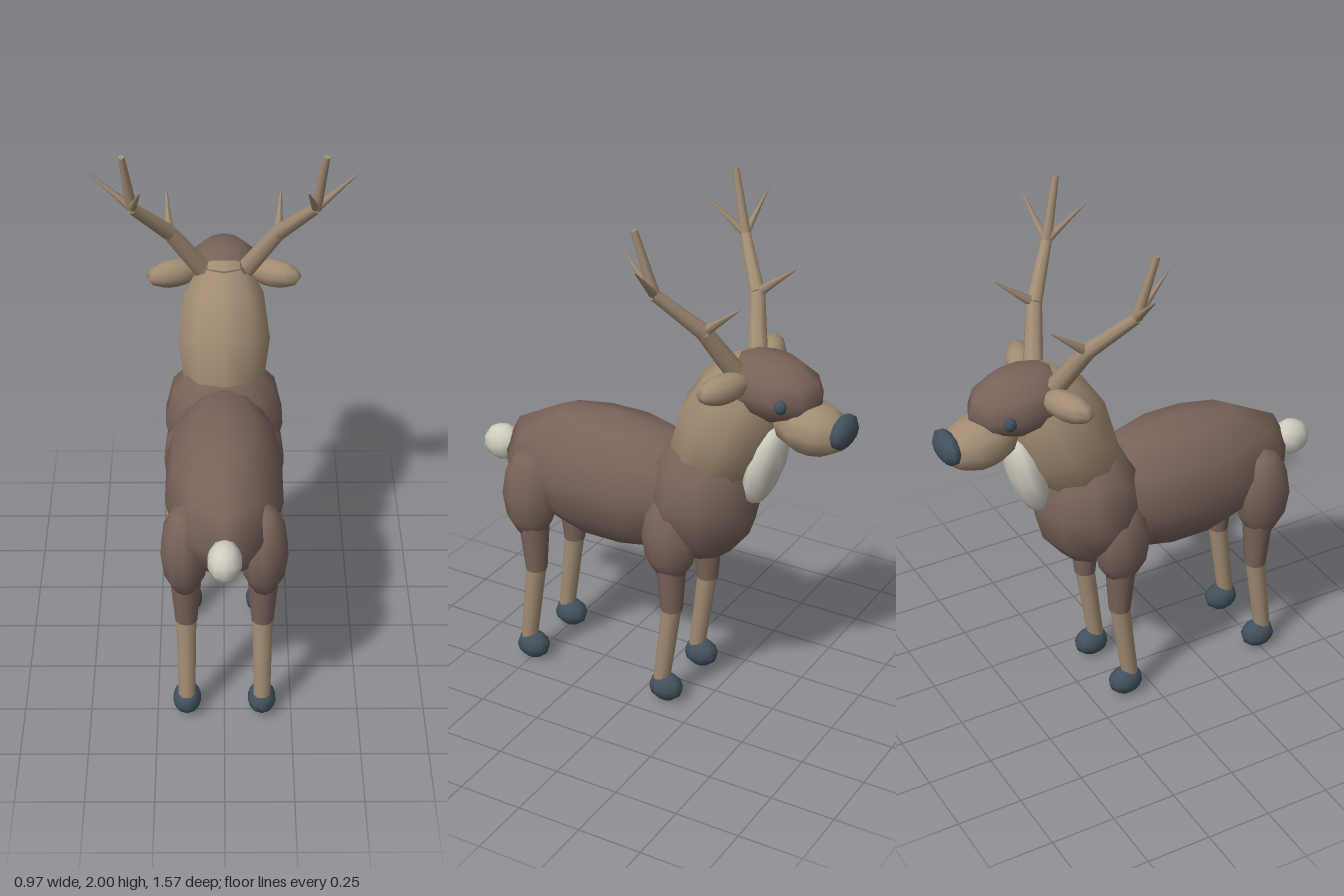
import * as THREE from 'three';

export function createModel() {
  const deer = new THREE.Group();
  deer.name = 'deer';

  const paint = (name, color) => {
    const m = new THREE.MeshStandardMaterial({ color });
    m.name = name;
    return m;
  };
  const brown = paint('brown coat', 0x79635a);
  const tan = paint('tan coat', 0xa28c73);
  const cream = paint('cream fur', 0xd0ccc0);
  const slate = paint('dark slate', 0x43515e);

  // Coarse smooth ball with a vertex on the z axis, shared by all soft parts
  const ball = new THREE.SphereGeometry(1, 10, 6).rotateY(Math.PI / 2);

  function blob(name, mat, pos, radii, rot = [0, 0, 0]) {
    const mesh = new THREE.Mesh(ball, mat);
    mesh.name = name;
    mesh.position.set(...pos);
    mesh.scale.set(radii[0] / 0.951, radii[1], radii[2]);
    mesh.rotation.set(...rot);
    deer.add(mesh);
    return mesh;
  }

  // Tapered rod from point a to point b
  function rod(name, mat, a, b, ra, rb, sides = 8) {
    const start = new THREE.Vector3(...a);
    const end = new THREE.Vector3(...b);
    const dir = end.clone().sub(start);
    const mesh = new THREE.Mesh(new THREE.CylinderGeometry(rb, ra, dir.length(), sides), mat);
    mesh.name = name;
    mesh.position.copy(start).add(end).multiplyScalar(0.5);
    mesh.quaternion.setFromUnitVectors(new THREE.Vector3(0, 1, 0), dir.normalize());
    deer.add(mesh);
    return mesh;
  }

  // Trunk
  blob('body', brown, [0, 0.845, 0.19], [0.215, 0.265, 0.5]);
  blob('chest', brown, [0, 0.875, -0.2], [0.222, 0.265, 0.21]);
  blob('tail', cream, [0, 0.85, 0.705], [0.06, 0.073, 0.08], [0.25, 0, 0]);

  // Neck and throat
  blob('neck', tan, [0, 1.17, -0.288], [0.173, 0.33, 0.19], [-0.43, 0, 0]);
  blob('throat', cream, [0, 1.055, -0.445], [0.1, 0.18, 0.065], [-0.26, 0, 0]);

  // Head
  blob('head', brown, [0, 1.365, -0.455], [0.138, 0.125, 0.205], [-0.1, 0, 0]);
  blob('muzzle', tan, [0, 1.242, -0.62], [0.107, 0.1, 0.15], [-0.1, 0, 0]);
  blob('nose', slate, [0, 1.253, -0.745], [0.088, 0.06, 0.04]);

  for (const s of [1, -1]) {
    const side = s > 0 ? 'left' : 'right';

    // Eyes and ears
    blob(side + 'Eye', slate, [s * 0.12, 1.35, -0.553], [0.019, 0.027, 0.024]);
    blob(side + 'Ear', tan, [s * 0.185, 1.403, -0.363], [0.108, 0.054, 0.053], [0, -s * 0.4, 0]);

    // Antlers: two beam sections, a blunt top and three pointed tines
    const base = [s * 0.08, 1.42, -0.36];
    const mid = [s * 0.2, 1.61, -0.29];
    const fork = [s * 0.33, 1.77, -0.17];
    rod(side + 'AntlerLowerBeam', tan, base, mid, 0.038, 0.03);
    rod(side + 'AntlerUpperBeam', tan, mid, fork, 0.03, 0.021);
    rod(side + 'AntlerTop', tan, fork, [s * 0.36, 2, -0.11], 0.021, 0.012);
    rod(side + 'BrowTine', tan, mid, [s * 0.213, 1.725, -0.435], 0.02, 0.002, 6);
    rod(side + 'OuterTine', tan, fork, [s * 0.483, 1.905, -0.185], 0.017, 0.002, 6);
    rod(side + 'RearTine', tan, fork, [s * 0.295, 1.9, -0.025], 0.017, 0.002, 6);

    // Legs: z is the knee position, hip the size of the upper leg
    const x = s * 0.14;
    for (const leg of [
      { name: 'FrontLeg', z: -0.135, thighZ: -0.127, thighY: 0.73, ry: 0.18 },
      { name: 'HindLeg', z: 0.472, thighZ: 0.49, thighY: 0.745, ry: 0.19 },
    ]) {
      const name = side + leg.name;
      blob(name + 'Thigh', brown, [s * 0.143, leg.thighY, leg.thighZ], [0.085, leg.ry, 0.113]);
      rod(name + 'Knee', brown, [x, 0.62, leg.z + 0.005], [x, 0.415, leg.z], 0.06, 0.042, 10);
      rod(name + 'Shin', tan, [x, 0.43, leg.z], [x, 0.06, leg.z + 0.048], 0.039, 0.032, 10);
      blob(name + 'Hoof', slate, [x, 0.06, leg.z + 0.025], [0.051, 0.057, 0.07]);
    }
  }
  return deer;
}
